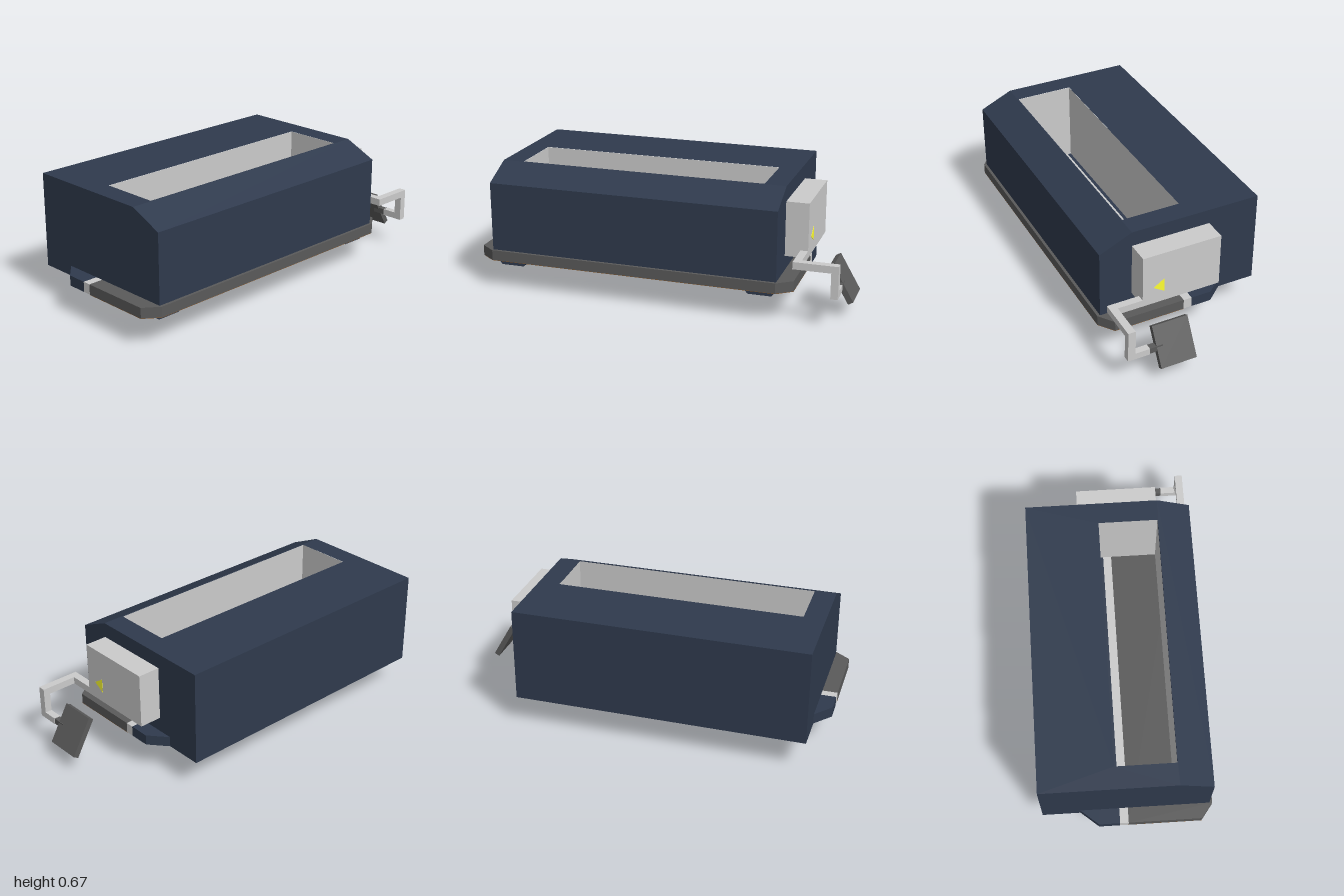
import * as THREE from 'three';
import { ConvexGeometry } from 'three/addons/geometries/ConvexGeometry.js';

const mat = (color, side = THREE.FrontSide) =>
  new THREE.MeshStandardMaterial({ color, side, flatShading: true });
const NAVY = mat(0x2f3a4d), GREY = mat(0xcccccc), DARK = mat(0x5a5a5a);
const BROWN = mat(0x8b5a2b), YELLOW = mat(0xffff33);

export function createModel() {
  const model = new THREE.Group();
  const add = (name, geometry, material) => {
    const mesh = new THREE.Mesh(geometry, material);
    mesh.name = name;
    model.add(mesh);
    return mesh;
  };
  // Box given by its extents on each axis
  const box = (name, material, x0, x1, y0, y1, z0, z1) => add(name,
    new THREE.BoxGeometry(x1 - x0, y1 - y0, z1 - z0)
      .translate((x0 + x1) / 2, (y0 + y1) / 2, (z0 + z1) / 2), material);
  const toShape = pts => new THREE.Shape(pts.map(p => new THREE.Vector2(...p)));
  // Outline in [x, z], raised from y0 to y1
  const slab = (name, material, pts, y0, y1, hole) => {
    const flip = list => list.map(([x, z]) => [x, -z]);
    const shape = toShape(flip(pts));
    if (hole) shape.holes.push(toShape(flip(hole)));
    return add(name, new THREE.ExtrudeGeometry(shape, { depth: y1 - y0, bevelEnabled: false })
      .rotateX(-Math.PI / 2).translate(0, y0, 0), material);
  };
  // Side profile in [z, y], extended from x0 to x1
  const prism = (name, material, pts, x0, x1) => add(name,
    new THREE.ExtrudeGeometry(toShape(pts.map(([z, y]) => [-z, y])), { depth: x1 - x0, bevelEnabled: false })
      .rotateY(Math.PI / 2).translate(x0, 0, 0), material);
  const rect = (x0, x1, z0, z1) => [[x0, z0], [x1, z0], [x1, z1], [x0, z1]];

  const L = -0.92, R = 0.635;        // housing ends
  const PL = -1, PR = 0.715;         // base plate ends
  const Y0 = 0.16, Y1 = 0.215, TOP = 0.665;

  // Housing with an open shaft and a sloped front edge
  slab('housing', NAVY, rect(L, R, -0.45, 0.255), Y1, TOP, rect(-0.805, 0.52, -0.065, 0.25));
  prism('housingFront', NAVY, [[0.255, Y1], [0.43, Y1], [0.43, 0.585], [0.255, TOP]], L, R);

  // Pale walls inside the shaft
  const liner = new THREE.CylinderGeometry(Math.SQRT1_2, Math.SQRT1_2, 1, 4, 1, true)
    .rotateY(Math.PI / 4).scale(1.323, TOP - Y1 - 0.001, 0.313)
    .translate(-0.1425, (TOP + Y1) / 2, 0.0925);
  add('shaftLiner', liner, mat(0xcccccc, THREE.BackSide));

  // Base: rear plate, joint strip and front plate
  slab('rearBase', NAVY, [[PL, -0.045], [PL, -0.155], [L, -0.25], [L, -0.45],
    [R, -0.45], [R, -0.25], [PR, -0.155], [PR, -0.045]], Y0, Y1);
  box('jointStrip', GREY, PL, PR, Y0, Y1, -0.045, 0);
  const plate = [[PL, 0], [PL, 0.385], [L, 0.445], [R, 0.445], [PR, 0.385], [PR, 0]];
  slab('frontPlate', DARK, plate, Y0, Y1);
  slab('plateUnderside', BROWN, plate, Y0 - 0.002, Y0);

  // Tapered feet under both ends of the front plate
  for (const cx of [-0.828, 0.54]) {
    const pts = [];
    for (const s of [-1, 1]) {
      pts.push(new THREE.Vector3(cx + s * 0.095, Y0, 0), new THREE.Vector3(cx + s * 0.095, Y0, 0.39),
        new THREE.Vector3(cx + s * 0.062, 0.12, 0.08), new THREE.Vector3(cx + s * 0.062, 0.12, 0.39));
    }
    add('foot', new ConvexGeometry(pts), NAVY);
  }

  // Rear rail, then legs with diagonal braces
  box('rearRail', GREY, -0.73, 0.445, 0.14, Y0, -0.25, -0.175);
  for (const x of [-0.418, 0.07]) {
    box('leg', GREY, x, x + 0.058, 0, Y0, -0.04, -0.02);
    prism('legBrace', DARK, [[-0.04, 0.005], [-0.115, Y0], [-0.098, Y0], [-0.04, 0.04]], x, x + 0.058);
  }

  // Side control box with an arrow marker
  box('controlBox', GREY, R, 0.755, 0.295, 0.585, -0.175, 0.255);
  prism('arrowMarker', YELLOW, [[0.195, 0.391], [0.137, 0.354], [0.137, 0.43]], 0.754, 0.757);

  // Bent arm carrying the tilted panel
  box('armFromBox', GREY, 0.715, 0.755, 0.295, 0.333, 0.255, 0.43);
  box('armAcross', GREY, 0.755, 0.947, 0.295, 0.333, 0.39, 0.43);
  box('armDown', GREY, 0.91, 0.947, Y0, 0.295, 0.39, 0.43);
  box('armBack', GREY, 0.91, 0.947, Y0, 0.195, 0.312, 0.39);
  box('panelMount', DARK, 0.912, 0.945, 0.162, 0.193, 0.24, 0.312);
  const panel = add('panel', new THREE.BoxGeometry(0.03, 0.216, 0.195), DARK);
  panel.position.set(0.932, 0.179, 0.177);
  panel.rotation.z = Math.PI / 6;

  return model;
}
